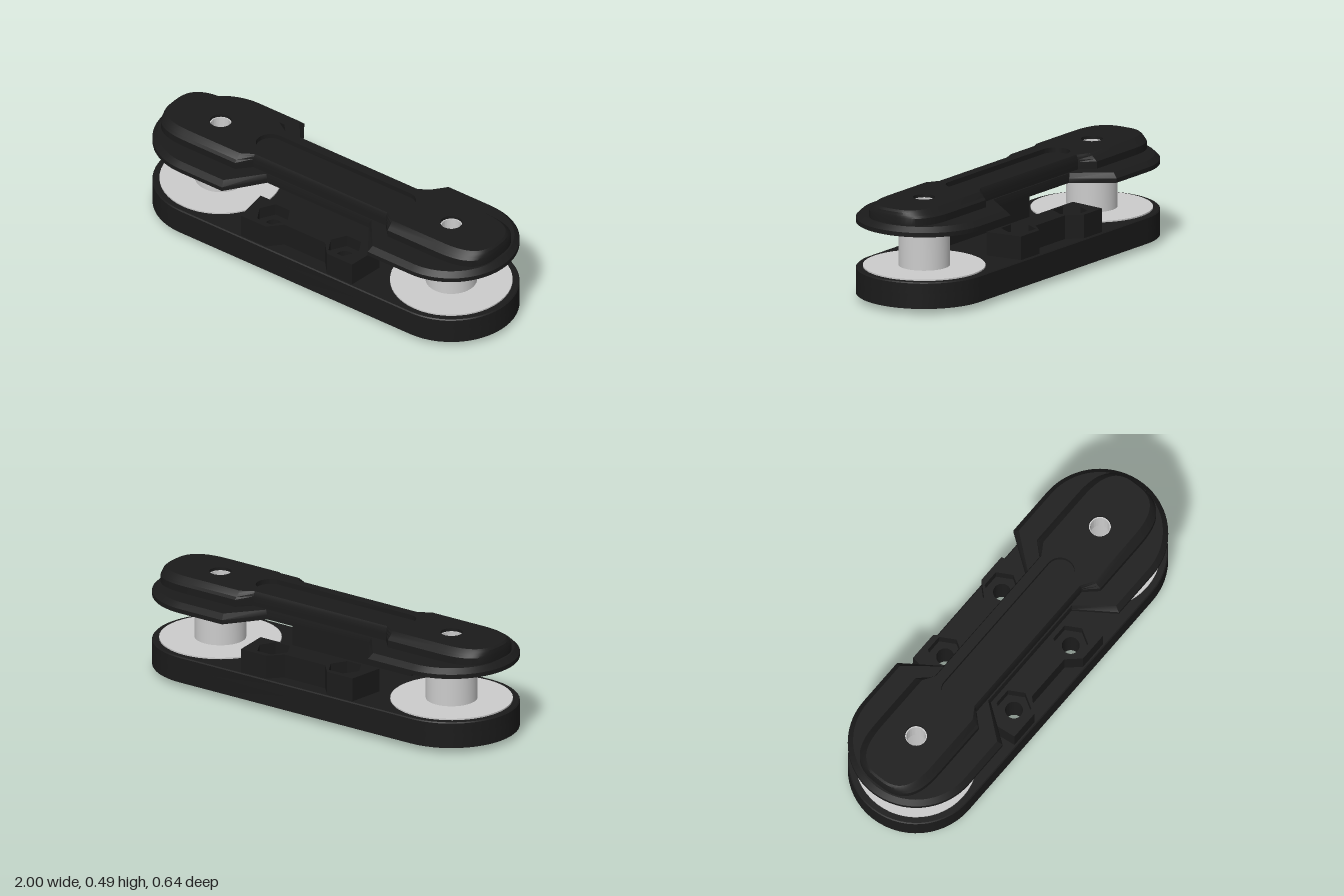
import * as THREE from 'three';
import { toCreasedNormals } from 'three/addons/utils/BufferGeometryUtils.js';

const END = 0.68; // distance of the end bolts from the middle
const R = 0.322; // end radius of both plates
const V = (x, y) => new THREE.Vector2(x, y);
const black = new THREE.MeshStandardMaterial({ color: 0x1b1b1b });
const grey = new THREE.MeshStandardMaterial({ color: 0xcccccc });

// Plan outlines, counter-clockwise; plan y points to -z
function arc(cx, cy, r, a0, a1, n) {
  const pts = [];
  for (let i = 0; i <= n; i++) {
    const a = a0 + ((a1 - a0) * i) / n;
    pts.push(V(cx + r * Math.cos(a), cy + r * Math.sin(a)));
  }
  return pts;
}
const circle = (cx, cy, r, n = 32) => arc(cx, cy, r, 0, Math.PI * 2, n).slice(0, n);
function stadium(r, half = END) {
  const q = Math.PI / 2;
  return [...arc(half, 0, r, -q, q, 28), ...arc(-half, 0, r, q, 3 * q, 28)];
}
// Long plate of half width w with a waist of half width n; the ends are
// superellipses about cx (power 2 is an ellipse, higher is squarer)
function waisted(cx, length, w, xa, xb, n, power = 2) {
  const half = [];
  for (let i = 0; i <= 32; i++) {
    const a = -Math.PI / 2 + (Math.PI * i) / 32;
    const c = Math.max(0, Math.cos(a)), s = Math.sin(a);
    half.push(V(cx + length * c ** (2 / power), w * Math.sign(s) * Math.abs(s) ** (2 / power)));
  }
  half.push(V(xa, w), V(xb, n), V(-xb, n), V(-xa, w));
  return [...half, ...half.map((p) => V(-p.x, -p.y))];
}

// Solid through a stack of outlines [height, points] with straight through holes
function solid(levels, holes = []) {
  const pos = [];
  const put = (p, h) => pos.push(p.x, h, -p.y);
  const wall = (a, ha, b, hb) => {
    for (let i = 0; i < a.length; i++) {
      const j = (i + 1) % a.length;
      put(a[i], ha); put(a[j], ha); put(b[j], hb);
      put(a[i], ha); put(b[j], hb); put(b[i], hb);
    }
  };
  const cw = holes.map((h) => [...h].reverse());
  const cap = ([h, pts], up) => {
    const all = [...pts, ...cw.flat()];
    for (const [a, b, c] of THREE.ShapeUtils.triangulateShape([...pts], cw.map((k) => [...k]))) {
      for (const i of up ? [a, b, c] : [a, c, b]) put(all[i], h);
    }
  };
  const first = levels[0], last = levels[levels.length - 1];
  for (let i = 1; i < levels.length; i++) wall(levels[i - 1][1], levels[i - 1][0], levels[i][1], levels[i][0]);
  for (const h of cw) wall(h, first[0], h, last[0]);
  cap(first, false);
  cap(last, true);
  const g = new THREE.BufferGeometry();
  g.setAttribute('position', new THREE.Float32BufferAttribute(pos, 3));
  return toCreasedNormals(g, 0.5);
}
const prism = (y0, y1, pts, holes) => solid([[y0, pts], [y1, pts]], holes);

// Turned ring
function ring(inner, outer, y0, y1) {
  const p = [V(inner, y0), V(outer, y0), V(outer, y1), V(inner, y1), V(inner, y0)];
  return toCreasedNormals(new THREE.LatheGeometry(p, 48), 0.5);
}

export function createModel() {
  const model = new THREE.Group();
  const add = (name, geo, mat = black, parent = model) => {
    const m = new THREE.Mesh(geo, mat);
    m.name = name;
    parent.add(m);
  };
  const corners = [[1, 1], [1, -1], [-1, 1], [-1, -1]].map(([x, y]) => [x * 0.21, y * 0.21]);
  const screwHoles = corners.map(([x, y]) => circle(x, y, 0.042));
  const endHoles = (r) => [circle(END, 0, r), circle(-END, 0, r)];

  // Pockets in the underside: curved slots round the ends, angled ones by the hub
  const pockets = [];
  for (const s of [0, Math.PI]) {
    const turn = (pts) => pts.map((p) => p.clone().rotateAround(V(0, 0), s));
    for (const a of [-1.1, 0, 1.1]) {
      pockets.push(turn([...arc(END, 0, 0.255, a - 0.4, a + 0.4, 10), ...arc(END, 0, 0.195, a + 0.4, a - 0.4, 10)]));
    }
    pockets.push(turn([V(0.18, -0.05), V(0.3, -0.1), V(0.45, -0.06), V(0.45, 0.06), V(0.3, 0.1), V(0.18, 0.05)]));
    for (const m of [1, -1]) {
      const p = [V(0.29, m * 0.18), V(0.44, m * 0.13), V(0.52, m * 0.19), V(0.5, m * 0.25), V(0.31, m * 0.25)];
      pockets.push(turn(m < 0 ? p.reverse() : p));
    }
    pockets.push(turn([V(-0.07, 0.15), V(0.07, 0.15), V(0.13, 0.2), V(0.13, 0.25), V(-0.13, 0.25), V(-0.13, 0.2)]));
  }

  // Lower plate: top skin, pocketed floor and a raised rim
  const base = new THREE.Group();
  base.name = 'lowerPlate';
  model.add(base);
  add('lowerSkin', solid([[0.1, stadium(R)], [0.15, stadium(R)], [0.155, stadium(R - 0.005)]],
    [...screwHoles, ...endHoles(0.1)]), black, base);
  add('pocketFloor', prism(0.048, 0.1, stadium(0.29),
    [...screwHoles, ...endHoles(0.1), ...pockets, circle(0, 0, 0.088)]), black, base);
  add('lowerRim', prism(0.027, 0.1, stadium(R), [stadium(0.285)]), black, base);

  // Central hub with a blind bore, and bosses round the screw holes
  add('centreHub', solid([[0, circle(0, 0, 0.117)], [0.006, circle(0, 0, 0.122)], [0.1, circle(0, 0, 0.122)]],
    [circle(0, 0, 0.088)]), black, base);
  corners.forEach(([x, y], i) => {
    add('screwBoss', prism(0.03, 0.1, circle(x, y, 0.065), [screwHoles[i]]), black, base);
  });

  // Nut blocks on both long sides, with hexagonal pockets
  const right = [V(0.12, -0.245), V(0.18, -0.31), V(0.328, -0.31), V(0.35, -0.125)];
  const block = [...right.map((p) => V(-p.x, p.y)).reverse(), ...right];
  const nutSpots = [[-0.21, -0.21], [0.21, -0.21]];
  for (const turn of [0, Math.PI]) {
    const g = new THREE.Group();
    g.name = turn ? 'backNutBlock' : 'frontNutBlock';
    g.rotation.y = turn;
    model.add(g);
    add('nutBlockFoot', prism(0.15, 0.21, block, nutSpots.map(([x, y]) => circle(x, y, 0.042))), black, g);
    add('nutBlockTop', prism(0.21, 0.27, block, nutSpots.map(([x, y]) => circle(x, y, 0.083, 6))), black, g);
  }

  // Spacer sleeves, washers and the liners of the upper bolt holes
  for (const s of [1, -1]) {
    const g = new THREE.Group();
    g.name = s > 0 ? 'leftSpacer' : 'rightSpacer';
    g.position.x = s * END;
    model.add(g);
    add('sleeve', ring(0.076, 0.122, 0.03, 0.376), grey, g);
    add('lowerWasher', ring(0.12, 0.289, 0.15, 0.162), grey, g);
    add('upperWasher', ring(0.12, 0.289, 0.369, 0.38), grey, g);
    add('undersideWasher', ring(0.076, 0.147, 0.028, 0.09), grey, g);
    add('holeLiner', ring(0.046, 0.054, 0.372, 0.475), grey, g);
  }

  // Upper plate: notched flange, spine and long groove
  const top = new THREE.Group();
  top.name = 'upperPlate';
  model.add(top);
  const bolts = endHoles(0.052);
  const flange = waisted(END, R, R, 0.43, 0.3, 0.14);
  add('flange', solid([[0.375, flange], [0.396, flange],
    [0.42, waisted(END, R - 0.025, R - 0.025, 0.44, 0.31, 0.135)]], bolts), black, top);
  const spine = (length, w, n) => waisted(0.72, length, w, 0.45, 0.39, n, 2.9);
  const lower = spine(0.245, 0.193, 0.128);
  const shoulder = spine(0.243, 0.181, 0.126);
  add('spine', solid([[0.42, lower], [0.455, lower], [0.466, shoulder]], bolts), black, top);
  add('spineTop', solid([[0.466, shoulder], [0.48, spine(0.24, 0.166, 0.123)], [0.49, spine(0.23, 0.155, 0.118)]],
    [...bolts, stadium(0.07, 0.385)]), black, top);

  return model;
}
